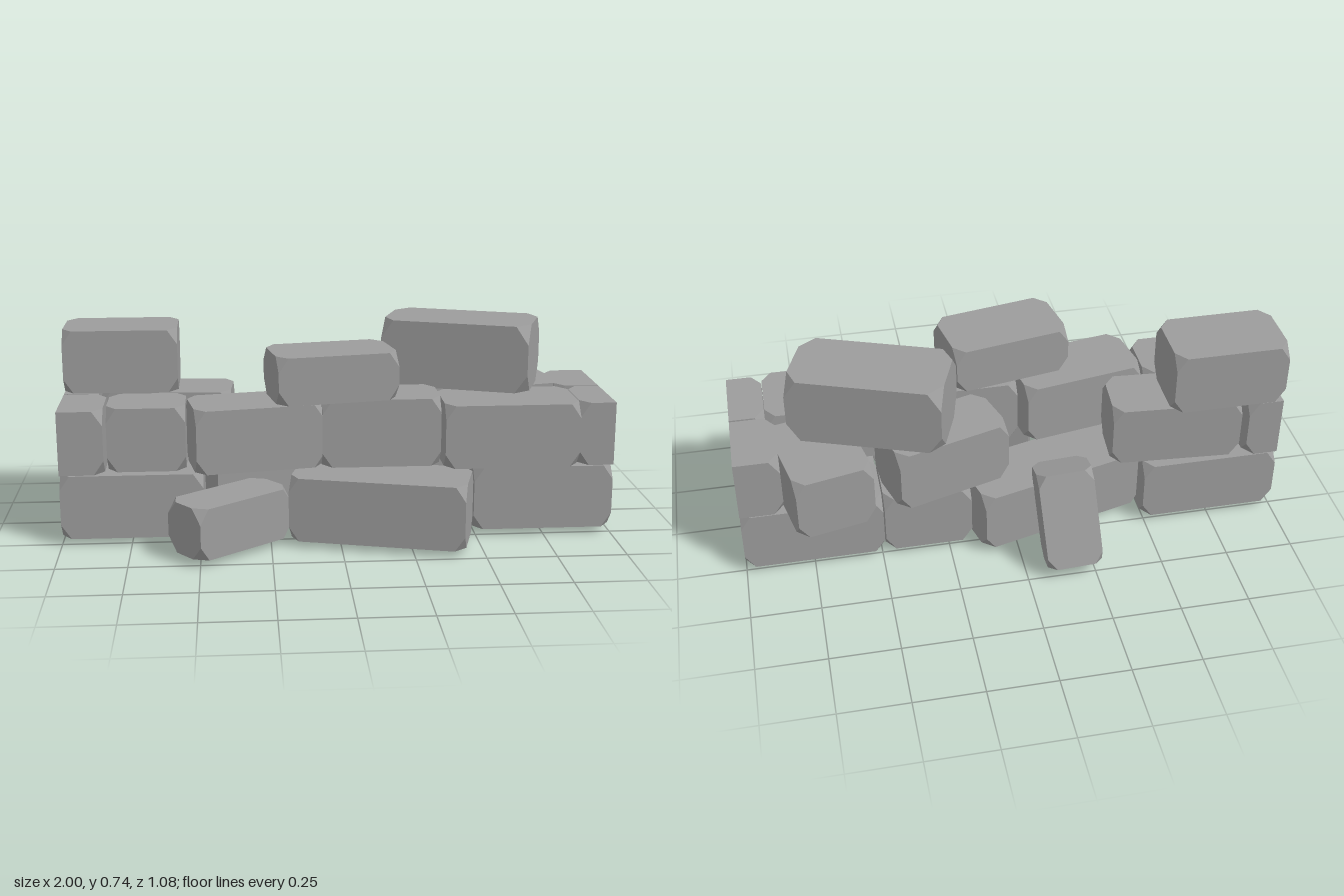
import * as THREE from 'three';
import { ConvexGeometry } from 'three/addons/geometries/ConvexGeometry.js';

const material = new THREE.MeshStandardMaterial({ color: 0x9c9c9c, flatShading: true });
const openMaterial = new THREE.MeshStandardMaterial({ color: 0x9c9c9c, flatShading: true, side: THREE.DoubleSide });

// Stone block with its corners cut off; the end on the side openEnd (+1 or -1) is left sharp
function blockGeometry(w, h, d, cut, openEnd = 0) {
  const [cx, cy, cz] = [cut * 0.75, cut * 1.1, cut];
  const [x, y, z] = [w / 2, h / 2, d / 2];
  const points = [];
  for (const sx of [-1, 1]) for (const sy of [-1, 1]) for (const sz of [-1, 1]) {
    if (sx === openEnd) {
      points.push(new THREE.Vector3(sx * x, sy * y, sz * z));
      continue;
    }
    points.push(
      new THREE.Vector3(sx * (x - cx), sy * y, sz * z),
      new THREE.Vector3(sx * x, sy * (y - cy), sz * z),
      new THREE.Vector3(sx * x, sy * y, sz * (z - cz)));
  }
  return new ConvexGeometry(points);
}

// Half block, hollow and without its outer end face
function openBlockGeometry(w, h, d, cut, openEnd) {
  const p = blockGeometry(w, h, d, cut, openEnd).getAttribute('position');
  const kept = [];
  for (let i = 0; i < p.count; i += 3) {
    const onEnd = [0, 1, 2].every((k) => Math.abs(p.getX(i + k) - openEnd * w / 2) < 1e-5);
    if (!onEnd) kept.push(...p.array.slice(i * 3, i * 3 + 9));
  }
  const geometry = new THREE.BufferGeometry();
  geometry.setAttribute('position', new THREE.Float32BufferAttribute(kept, 3));
  geometry.computeVertexNormals();
  return geometry;
}

// Each block: [centre x, centre z, length, depth, yaw in degrees, bottom?, top?, cut?]
const courses = [
  { name: 'bottomCourse', y0: 0.025, y1: 0.259, blocks: [
    [-0.745, 0.134, 0.51, 0.262, 0],
    [-0.745, -0.136, 0.51, 0.262, 0],
    [0.745, 0.134, 0.51, 0.262, 0],
    [0.745, -0.136, 0.51, 0.262, 0],
    [0.325, -0.136, 0.32, 0.262, 0],
    [-0.158, -0.135, 0.65, 0.25, 15],
    [0.15, 0.295, 0.63, 0.26, -15],
    [-0.395, 0.342, 0.405, 0.188, 38, 0.025, 0.21],
  ] },
  { name: 'middleCourse', y0: 0.262, y1: 0.495, blocks: [
    [-0.69, 0.117, 0.28, 0.23, 0],
    [-0.62, -0.122, 0.48, 0.23, -4],
    [-0.303, 0.135, 0.465, 0.25, 10],
    [0.155, 0.117, 0.43, 0.23, 0, 0.262, 0.512],
    [0.625, 0.14, 0.49, 0.28, 0],
    [0.255, -0.165, 0.43, 0.23, 17],
    [0.7, -0.212, 0.28, 0.37, 12.5],
  ] },
  { name: 'topCourse', y0: 0.497, y1: 0.73, blocks: [
    [-0.79, -0.136, 0.42, 0.265, 0],
    [-0.025, 0.152, 0.44, 0.255, 10.5, 0.513, 0.685],
    [0.49, -0.11, 0.555, 0.282, -20, 0.495, 0.745, 0.062],
  ] },
];

// Half blocks closing the middle course: [inner x, centre z, side]
const halfBlocks = [
  [0.872, 0.134, 1], [0.84, -0.136, 1], [0.84, 0.134, -1], [0.875, -0.136, -1],
];

export function createModel() {
  const group = new THREE.Group();
  group.name = 'ruinedStoneWall';

  for (const { name, y0, y1, blocks } of courses) {
    const course = new THREE.Group();
    course.name = name;
    blocks.forEach(([x, z, w, d, yaw, b = y0, t = y1, cut = 0.048], i) => {
      const mesh = new THREE.Mesh(blockGeometry(w, t - b, d, cut), material);
      mesh.name = `${name}Block${i + 1}`;
      mesh.position.set(x, (b + t) / 2, z);
      mesh.rotation.y = THREE.MathUtils.degToRad(yaw);
      course.add(mesh);
    });
    group.add(course);
  }

  halfBlocks.forEach(([inner, z, side], i) => {
    const mesh = new THREE.Mesh(openBlockGeometry(1 - inner, 0.233, 0.262, 0.048, side), openMaterial);
    mesh.name = `halfBlock${i + 1}`;
    mesh.position.set(side * (1 + inner) / 2, 0.3785, z);
    group.add(mesh);
  });

  // Fallen block leaning against the back
  const leaning = new THREE.Mesh(blockGeometry(0.2, 0.36, 0.168, 0.04), material);
  leaning.name = 'leaningBlock';
  leaning.position.set(-0.163, 0.203, -0.393);
  leaning.rotation.set(...[20, -3, -3.5].map(THREE.MathUtils.degToRad));
  group.add(leaning);

  return group;
}
